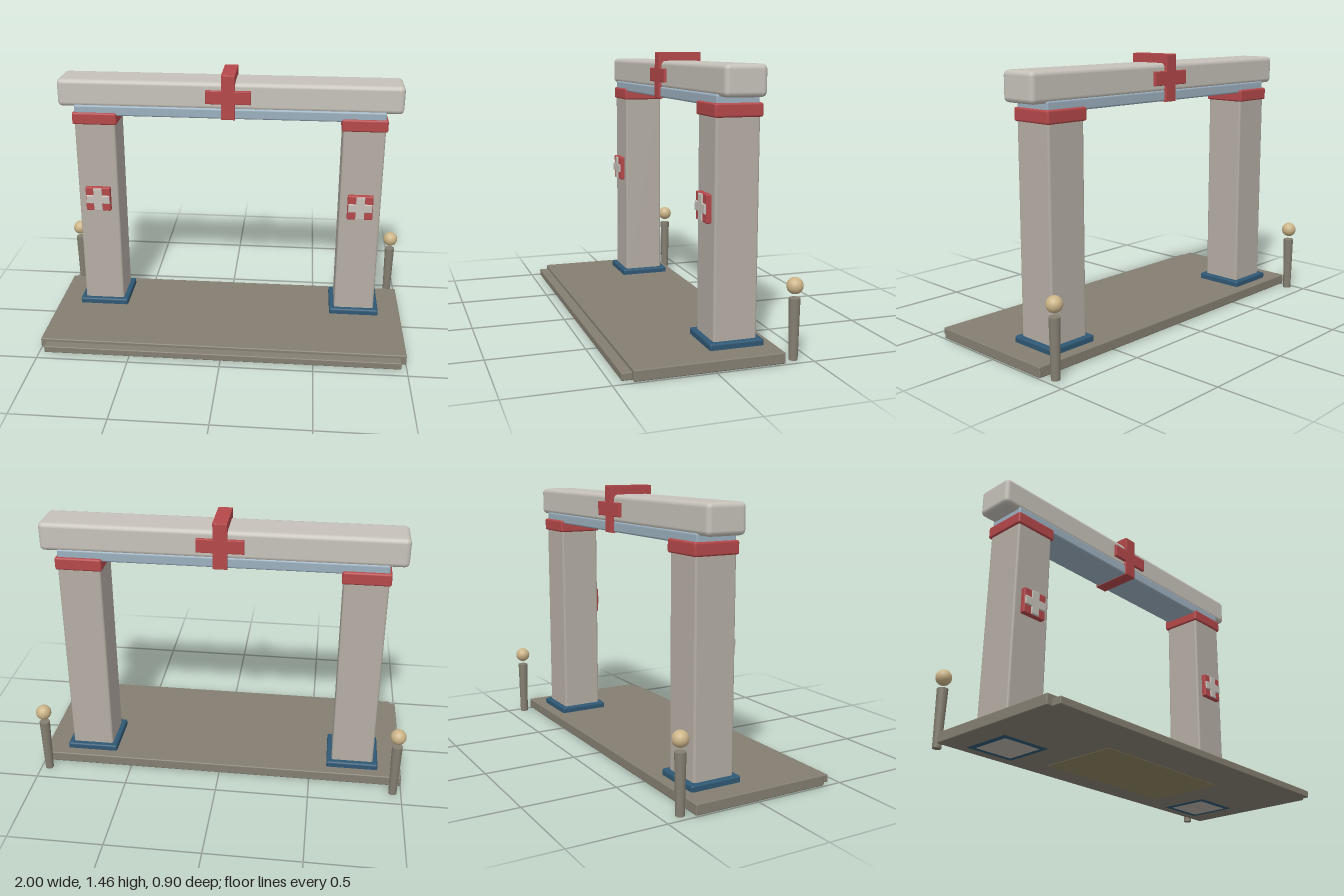
import * as THREE from 'three';
import { RoundedBoxGeometry } from 'three/addons/geometries/RoundedBoxGeometry.js';

const paint = (color) => new THREE.MeshStandardMaterial({ color });
const stone = paint(0xc6c2ba);
const pillarStone = paint(0xb5aea5);
const floorStone = paint(0x857f72);
const red = paint(0xb5484a);
const navy = paint(0x2f5874);
const paleBlue = paint(0x9cb0bf);
const olive = paint(0x8c8260);
const tan = paint(0xcbb488);

export function createModel() {
  const model = new THREE.Group();
  model.name = 'gateway';

  // Softly rounded block given by its [min, max] range on each axis
  function block(parent, name, mat, [x0, x1], [y0, y1], [z0, z1], radius = 0.01) {
    const geo = new RoundedBoxGeometry(x1 - x0, y1 - y0, z1 - z0, 2, radius);
    const mesh = new THREE.Mesh(geo, mat);
    mesh.position.set((x0 + x1) / 2, (y0 + y1) / 2, (z0 + z1) / 2);
    mesh.name = name;
    parent.add(mesh);
    return mesh;
  }

  // Upright plus sign, extruded backwards to forwards
  function plus(parent, name, mat, arm, half, up, down, x, y, z0, z1) {
    const b = 0.004;
    const w = half - b, a = arm - b, u = up - b, d = down - b;
    const shape = new THREE.Shape([
      [-w, -d], [w, -d], [w, -w], [a, -w], [a, w], [w, w],
      [w, u], [-w, u], [-w, w], [-a, w], [-a, -w], [-w, -w],
    ].map(([px, py]) => new THREE.Vector2(px, py)));
    const geo = new THREE.ExtrudeGeometry(shape, {
      depth: z1 - z0 - 2 * b, bevelThickness: b, bevelSize: b, bevelSegments: 2,
    });
    const mesh = new THREE.Mesh(geo, mat);
    mesh.position.set(x, y, z0 + b);
    mesh.name = name;
    parent.add(mesh);
  }

  // Floor slab, front step and the inset panel underneath
  block(model, 'floorSlab', floorStone, [-1, 1], [0.004, 0.06], [-0.35, 0.4], 0.006);
  block(model, 'frontStep', floorStone, [-0.97, 0.97], [0.004, 0.042], [0.385, 0.45], 0.005);
  block(model, 'undersidePanel', olive, [-0.42, 0.42], [0.002, 0.02], [-0.21, 0.21], 0.001);

  for (const side of [-1, 1]) {
    // Pillar with its foot, collar and front badge
    const pillar = new THREE.Group();
    pillar.name = side > 0 ? 'leftPillar' : 'rightPillar';
    pillar.position.x = side * 0.733;
    model.add(pillar);
    block(pillar, 'pillarFoot', navy, [-0.14, 0.14], [0.002, 0.092], [-0.295, -0.015], 0.01);
    block(pillar, 'pillarShaft', pillarStone, [-0.113, 0.113], [0, 1.2], [-0.267, -0.042], 0.012);
    block(pillar, 'pillarCollar', red, [-0.123, 0.123], [1.163, 1.23], [-0.278, -0.033], 0.01);
    block(pillar, 'badgePlate', red, [-0.07, 0.07], [0.66, 0.8], [-0.06, -0.016], 0.006);
    plus(pillar, 'badgeCross', stone, 0.066, 0.024, 0.066, 0.066, 0, 0.73, -0.05, -0.008);

    // Bollard behind the floor slab, topped with a ball
    const bollard = new THREE.Group();
    bollard.name = side > 0 ? 'leftBollard' : 'rightBollard';
    bollard.position.set(side * 0.955, 0, -0.41);
    const post = new THREE.Mesh(new THREE.CylinderGeometry(0.028, 0.022, 0.305, 20), floorStone);
    post.position.y = 0.1565;
    post.name = 'bollardPost';
    const ball = new THREE.Mesh(new THREE.SphereGeometry(0.041, 24, 16), tan);
    ball.position.y = 0.369;
    ball.name = 'bollardBall';
    bollard.add(post, ball);
    model.add(bollard);
  }

  // Crossbeam with the thin rail below it
  block(model, 'lowerRail', paleBlue, [-0.845, 0.845], [1.213, 1.27], [-0.262, -0.044], 0.01);
  block(model, 'crossbeam', stone, [-0.935, 0.935], [1.258, 1.41], [-0.262, -0.05], 0.025);

  // Large cross wrapping the middle of the beam front to back
  plus(model, 'beamCross', red, 0.122, 0.037, 0.123, 0.123, 0, 1.333, -0.277, -0.035);

  return model;
}
